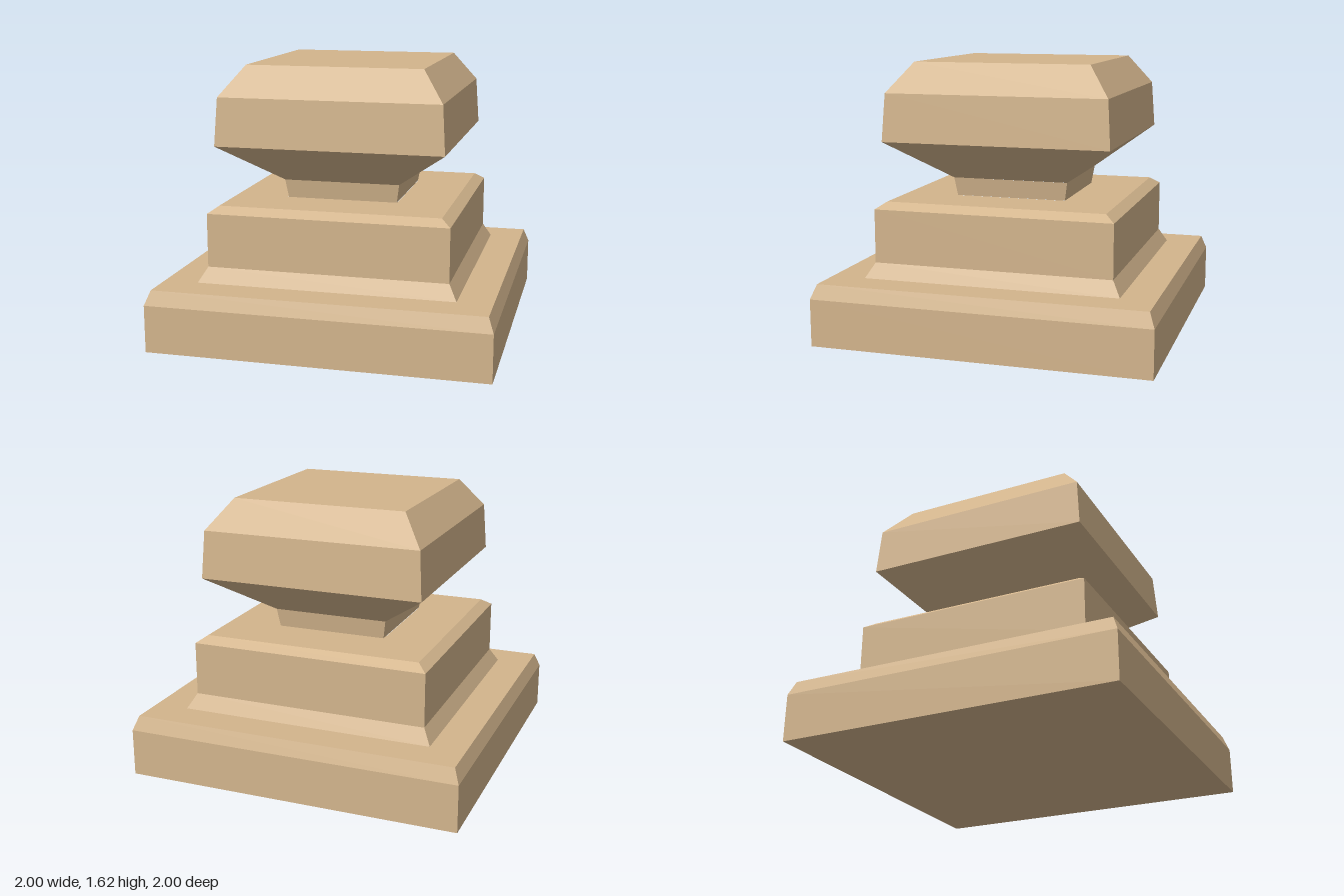
import * as THREE from 'three';

const material = new THREE.MeshStandardMaterial({ color: 0xd2b48c, flatShading: true });

// Square turned part: profile is [half width, height] from bottom to top
function squarePart(name, profile, scaleX = 1) {
  const points = profile.map(([half, y]) => new THREE.Vector2(half * Math.SQRT2, y));
  const geometry = new THREE.LatheGeometry(points, 4)
    .rotateY(Math.PI / 4)
    .scale(scaleX, 1, 1)
    .toNonIndexed();
  geometry.computeVertexNormals();
  const mesh = new THREE.Mesh(geometry, material);
  mesh.name = name;
  return mesh;
}

export function createModel() {
  const group = new THREE.Group();
  group.name = 'squarePedestal';
  group.add(
    // Wide slab with underside, bevelled rim and ledge
    squarePart('baseSlab', [[0, 0], [1, 0], [1, 0.28], [0.968, 0.365], [0.763, 0.365]]),
    // Upper block with flared foot and chamfered top
    squarePart('plinth', [[0.763, 0.365], [0.714, 0.452], [0.714, 0.77], [0.657, 0.81], [0.335, 0.81]]),
    // Narrow neck, widening upward
    squarePart('neck', [[0.335, 0.81], [0.352, 0.92]], 0.993),
    // Faceted cap
    squarePart('cap', [[0.352, 0.92], [0.678, 1.162], [0.66, 1.445], [0.527, 1.622], [0, 1.622]], 0.99),
  );
  return group;
}
